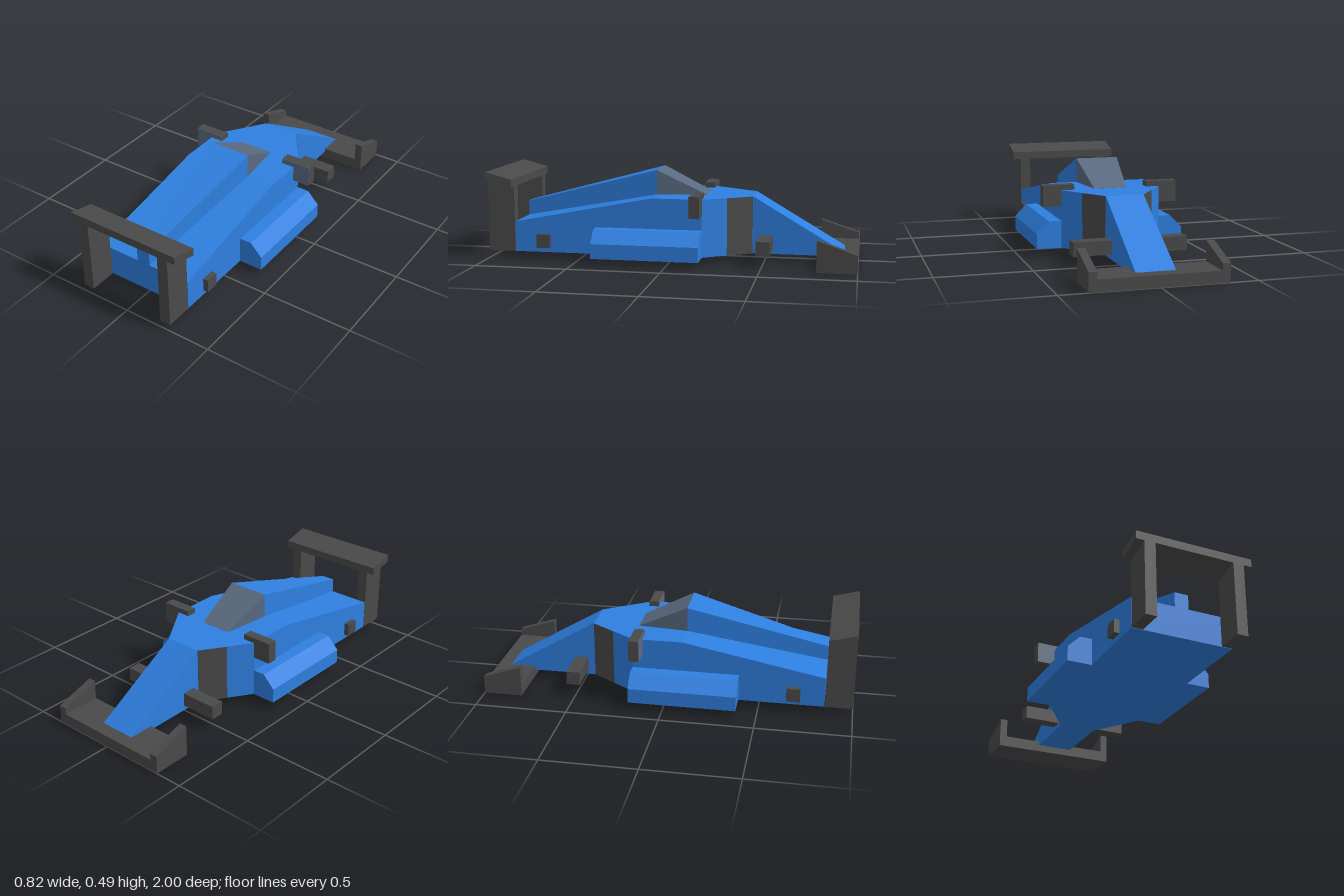
import * as THREE from 'three';

const mat = (color) => new THREE.MeshStandardMaterial({ color, flatShading: true });

// Closed solid through rectangular sections [z, x0, x1, yBottom, yTop], z descending
function loft(name, material, sections) {
  const rings = sections.map(([z, x0, x1, y0, y1]) =>
    [[x0, y0, z], [x1, y0, z], [x1, y1, z], [x0, y1, z]]);
  const pos = [];
  const quad = (a, b, c, d) => pos.push(...a, ...b, ...c, ...a, ...c, ...d);
  for (let i = 0; i < rings.length - 1; i++) {
    const a = rings[i], b = rings[i + 1];
    for (let j = 0; j < 4; j++) {
      const k = (j + 1) % 4;
      quad(a[j], b[j], b[k], a[k]);
    }
  }
  const first = rings[0], last = rings[rings.length - 1];
  quad(...first);
  quad(last[3], last[2], last[1], last[0]);
  const geo = new THREE.BufferGeometry();
  geo.setAttribute('position', new THREE.Float32BufferAttribute(pos, 3));
  geo.computeVertexNormals();
  const mesh = new THREE.Mesh(geo, material);
  mesh.name = name;
  return mesh;
}

// Sections centred on x = 0: [z, halfWidth, yBottom, yTop]
const centred = (rows) => rows.map(([z, w, y0, y1]) => [z, -w, w, y0, y1]);
const mirrored = (rows) => rows.map(([z, x0, x1, y0, y1]) => [z, -x1, -x0, y0, y1]);

export function createModel() {
  const model = new THREE.Group();
  model.name = 'raceCar';
  const blue = mat(0x2e7fe0), dark = mat(0x4a4a4a), glass = mat(0x5a6a80);

  const add = (name, material, rows) => model.add(loft(name, material, centred(rows)));
  const addPair = (name, material, rows) => {
    model.add(loft(name + 'Left', material, rows));
    model.add(loft(name + 'Right', material, mirrored(rows)));
  };

  // Main hull: sloping rear deck, flat middle, tapered shoulders, sloping nose
  add('body', blue, [
    [0.85, 0.275, 0.04, 0.205],
    [0.09, 0.275, 0.04, 0.352],
    [-0.18, 0.275, 0.04, 0.352],
    [-0.435, 0.102, 0.04, 0.352],
    [-0.93, 0.102, 0.04, 0.06],
  ]);

  // Dark panels on the tapered shoulders
  add('shoulderPanels', dark, [
    [-0.305, 0.192, 0.041, 0.351],
    [-0.434, 0.1045, 0.041, 0.351],
  ]);

  // Engine cover and windscreen
  add('engineCover', blue, [
    [0.85, 0.038, 0.19, 0.285],
    [0.09, 0.118, 0.34, 0.485],
  ]);
  add('windscreen', glass, [
    [0.09, 0.118, 0.34, 0.485],
    [-0.18, 0.09, 0.34, 0.353],
  ]);

  // Side pods with a chamfered upper edge
  for (const s of [1, -1]) {
    const pts = [[0.27, 0.04], [0.408, 0.04], [0.408, 0.12], [0.342, 0.187], [0.27, 0.187]];
    const shape = new THREE.Shape(pts.map(([x, y]) => new THREE.Vector2(s * x, y)));
    const geo = new THREE.ExtrudeGeometry(shape, { depth: 0.575, bevelEnabled: false });
    const pod = new THREE.Mesh(geo, blue);
    pod.name = s > 0 ? 'sidePodLeft' : 'sidePodRight';
    pod.position.z = -0.182;
    model.add(pod);
  }

  // Axle stubs
  for (const [name, z] of [['frontAxle', -0.472], ['rearAxle', 0.722]])
    add(name, dark, [[z, 0.304, 0.068, 0.142], [z - 0.073, 0.304, 0.068, 0.142]]);

  // Wing mirrors with glass facing the rear
  addPair('mirrorHousing', dark, [
    [-0.128, 0.202, 0.374, 0.265, 0.38],
    [-0.182, 0.202, 0.374, 0.265, 0.38],
  ]);
  addPair('mirrorGlass', glass, [
    [-0.126, 0.202, 0.374, 0.265, 0.38],
    [-0.128, 0.202, 0.374, 0.265, 0.38],
  ]);

  // Front wing and its end plates
  add('frontWing', dark, [[-0.79, 0.352, 0, 0.062], [-1, 0.352, 0, 0.062]]);
  addPair('frontEndPlate', dark, [
    [-0.79, 0.31, 0.352, 0, 0.168],
    [-1, 0.31, 0.352, 0, 0.098],
  ]);

  // Rear wing on two posts
  add('rearWing', dark, [[1, 0.32, 0.435, 0.478], [0.853, 0.32, 0.397, 0.44]]);
  addPair('rearWingPost', dark, [
    [1, 0.215, 0.275, 0.04, 0.437],
    [0.853, 0.215, 0.275, 0.04, 0.4],
  ]);

  return model;
}
